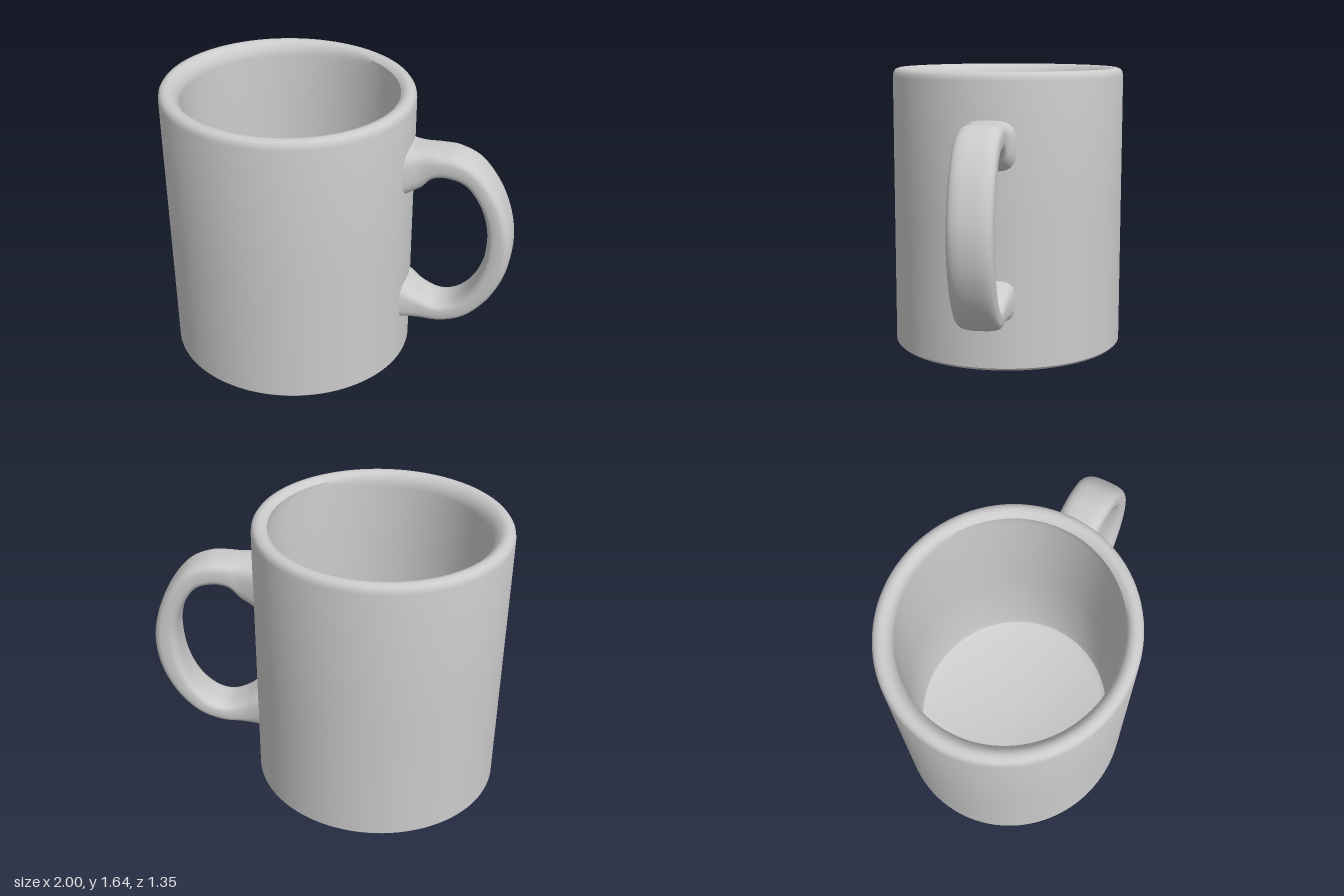
import * as THREE from 'three';
import { toCreasedNormals } from 'three/addons/utils/BufferGeometryUtils.js';

const material = new THREE.MeshStandardMaterial({ color: 0xcccccc });

// Closed profile: underside, outer wall, rounded rim, inner wall, floor
function makeBody() {
  const profile = [
    [0.001, 0], [0.69, 0], [0.705, 0.015], [0.705, 0.8], [0.705, 1.59], [0.701, 1.613], [0.69, 1.629],
    [0.67, 1.637], [0.652, 1.637], [0.634, 1.63], [0.617, 1.612], [0.608, 1.585], [0.605, 1.55],
    [0.605, 0.8], [0.605, 0.16], [0.595, 0.12], [0.565, 0.1], [0.001, 0.1],
  ].map(([r, y]) => new THREE.Vector2(r, y));
  const geometry = new THREE.LatheGeometry(profile, 96);
  geometry.scale(1, 1, 0.957);

  // The cavity sits slightly nearer the handle
  const p = geometry.attributes.position;
  for (let i = 0; i < p.count; i++) {
    const r = Math.hypot(p.getX(i), p.getZ(i) / 0.957);
    if (r < 0.61 && p.getY(i) > 0.05) p.setX(i, p.getX(i) + 0.014);
  }
  const mesh = new THREE.Mesh(toCreasedNormals(geometry, 0.7), material);
  mesh.name = 'cupBody';
  mesh.position.x = -0.295;
  return mesh;
}

// Rounded strap lofted between an outer and an inner outline
function makeHandle() {
  // Each station: outer x, outer y, inner x, inner y, half width
  const stations = [
    [0.35, 1.40, 0.35, 1.07, 0.17],
    [0.41, 1.382, 0.41, 1.11, 0.145],
    [0.48, 1.38, 0.48, 1.15, 0.122],
    [0.57, 1.38, 0.54, 1.215, 0.12],
    [0.67, 1.37, 0.63, 1.23, 0.12],
    [0.79, 1.31, 0.73, 1.195, 0.12],
    [0.90, 1.17, 0.81, 1.08, 0.12],
    [0.97, 1.00, 0.85, 0.95, 0.12],
    [0.995, 0.83, 0.855, 0.82, 0.12],
    [0.97, 0.65, 0.835, 0.68, 0.12],
    [0.89, 0.48, 0.78, 0.54, 0.12],
    [0.77, 0.35, 0.69, 0.44, 0.12],
    [0.63, 0.29, 0.59, 0.41, 0.118],
    [0.50, 0.28, 0.49, 0.45, 0.12],
    [0.41, 0.275, 0.41, 0.51, 0.14],
    [0.35, 0.26, 0.35, 0.55, 0.165],
  ];
  const outer = new THREE.CatmullRomCurve3(stations.map(s => new THREE.Vector3(s[0], s[1], s[4])), false, 'catmullrom', 0.5);
  const inner = new THREE.CatmullRomCurve3(stations.map(s => new THREE.Vector3(s[2], s[3], s[4])), false, 'catmullrom', 0.5);
  const rows = 90, sides = 32, positions = [], index = [];
  const soften = v => Math.sign(v) * Math.abs(v) ** 0.62;

  for (let i = 0; i <= rows; i++) {
    const a = outer.getPoint(i / rows), b = inner.getPoint(i / rows);
    for (let j = 0; j < sides; j++) {
      const angle = j / sides * Math.PI * 2;
      const t = 0.5 - 0.5 * soften(Math.cos(angle));
      positions.push(a.x + (b.x - a.x) * t, a.y + (b.y - a.y) * t, a.z * soften(Math.sin(angle)));
      if (i === rows) continue;
      const k = i * sides + j, n = i * sides + (j + 1) % sides;
      index.push(k, n, k + sides, n, n + sides, k + sides);
    }
  }
  const geometry = new THREE.BufferGeometry();
  geometry.setAttribute('position', new THREE.Float32BufferAttribute(positions, 3));
  geometry.setIndex(index);
  geometry.computeVertexNormals();
  const mesh = new THREE.Mesh(geometry, material);
  mesh.name = 'handle';
  return mesh;
}

export function createModel() {
  const group = new THREE.Group();
  group.name = 'mug';
  group.add(makeBody(), makeHandle());
  return group;
}
